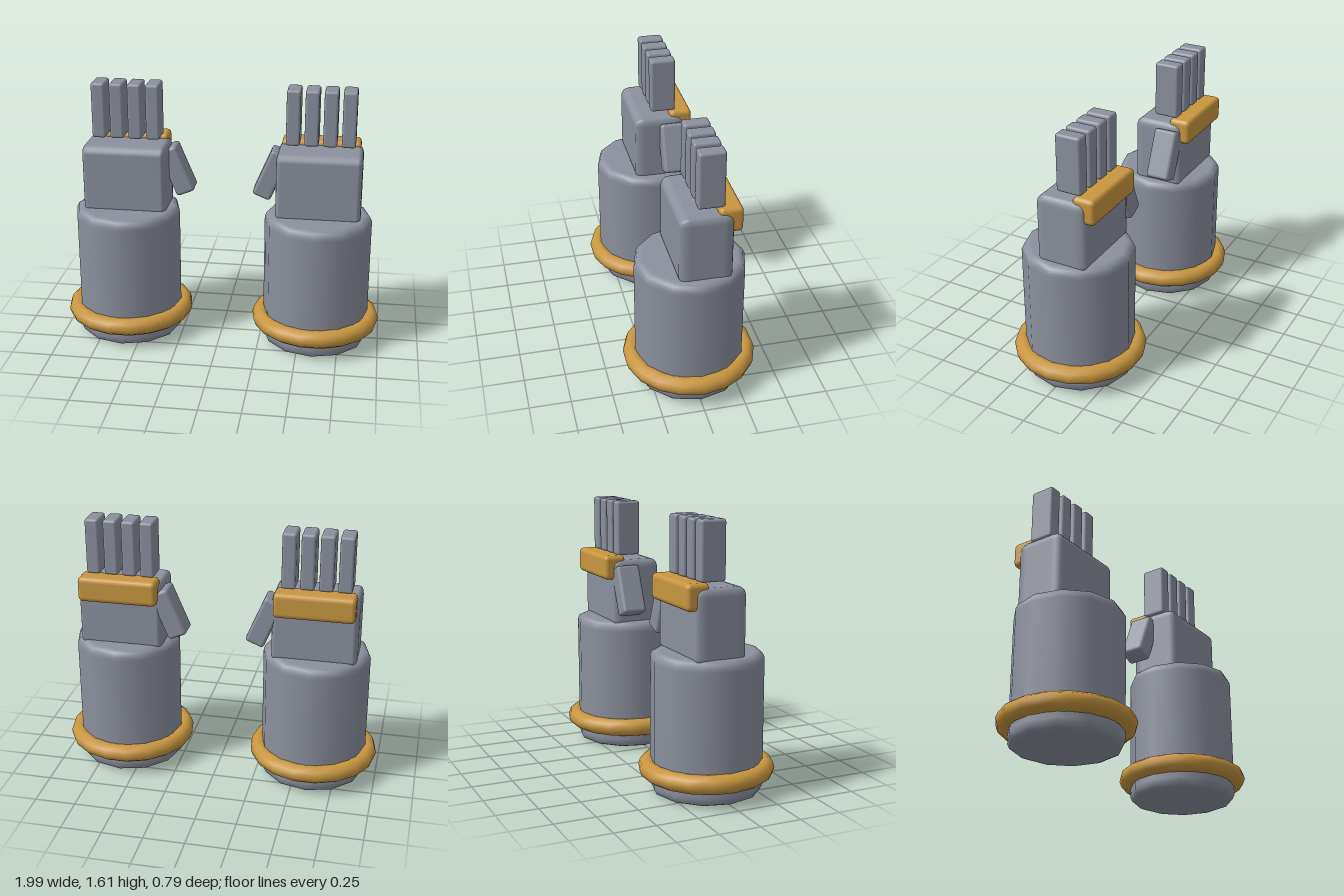
import * as THREE from 'three';
import { RoundedBoxGeometry } from 'three/addons/geometries/RoundedBoxGeometry.js';

const steel = new THREE.MeshStandardMaterial({ color: 0x8b909d });
steel.name = 'steel grey';
const gold = new THREE.MeshStandardMaterial({ color: 0xc8963f });
gold.name = 'gold trim';

// Box with a separate corner rounding along each axis
function softBox(w, h, d, bx, by, bz) {
  return new RoundedBoxGeometry(w / bx, h / by, d / bz, 2, 1).scale(bx, by, bz);
}

function add(parent, name, geometry, material, x, y, z) {
  const mesh = new THREE.Mesh(geometry, material);
  mesh.name = name;
  mesh.position.set(x, y, z);
  parent.add(mesh);
  return mesh;
}

// Twelve-sided forearm with softened rims
function forearmGeometry() {
  const profile = [
    [0, 0], [0.28, 0], [0.295, 0.002], [0.318, 0.012], [0.33, 0.038], [0.33, 0.06],
    [0.33, 0.78], [0.33, 0.802], [0.318, 0.828], [0.295, 0.838], [0.28, 0.84], [0, 0.84],
  ].map(([r, y]) => new THREE.Vector2(r, y));
  return new THREE.LatheGeometry(profile, 12);
}

// side is the direction from the hand's centre towards its thumb
function createGauntlet(side) {
  const g = new THREE.Group();
  add(g, 'forearm', forearmGeometry(), steel, 0, 0, 0);

  // Cuff ring around the lower forearm
  const ring = new THREE.TorusGeometry(0.345, 0.055, 10, 18).rotateX(Math.PI / 2);
  add(g, 'cuffRing', ring, gold, 0, 0.145, 0);

  // Hand
  add(g, 'palm', softBox(0.52, 0.44, 0.31, 0.03, 0.05, 0.06), steel, 0, 1.02, -0.035);
  add(g, 'knuckleGuard', softBox(0.485, 0.155, 0.138, 0.025, 0.03, 0.025), gold, 0, 1.1925, -0.175);
  for (let i = 0; i < 4; i++) {
    add(g, 'finger' + (i + 1), softBox(0.085, 0.345, 0.155, 0.016, 0.016, 0.016),
      steel, (i - 1.5) * 0.112, 1.4375, -0.068);
  }
  const thumb = add(g, 'thumb', softBox(0.12, 0.31, 0.152, 0.02, 0.02, 0.02),
    steel, side * 0.302, 1.05, -0.11);
  thumb.rotation.z = side * 0.4;
  return g;
}

export function createModel() {
  const model = new THREE.Group();
  model.name = 'gauntletPair';
  for (const side of [-1, 1]) {
    const gauntlet = createGauntlet(-side);
    gauntlet.name = side > 0 ? 'leftGauntlet' : 'rightGauntlet';
    gauntlet.position.x = side * 0.597;
    model.add(gauntlet);
  }
  return model;
}
